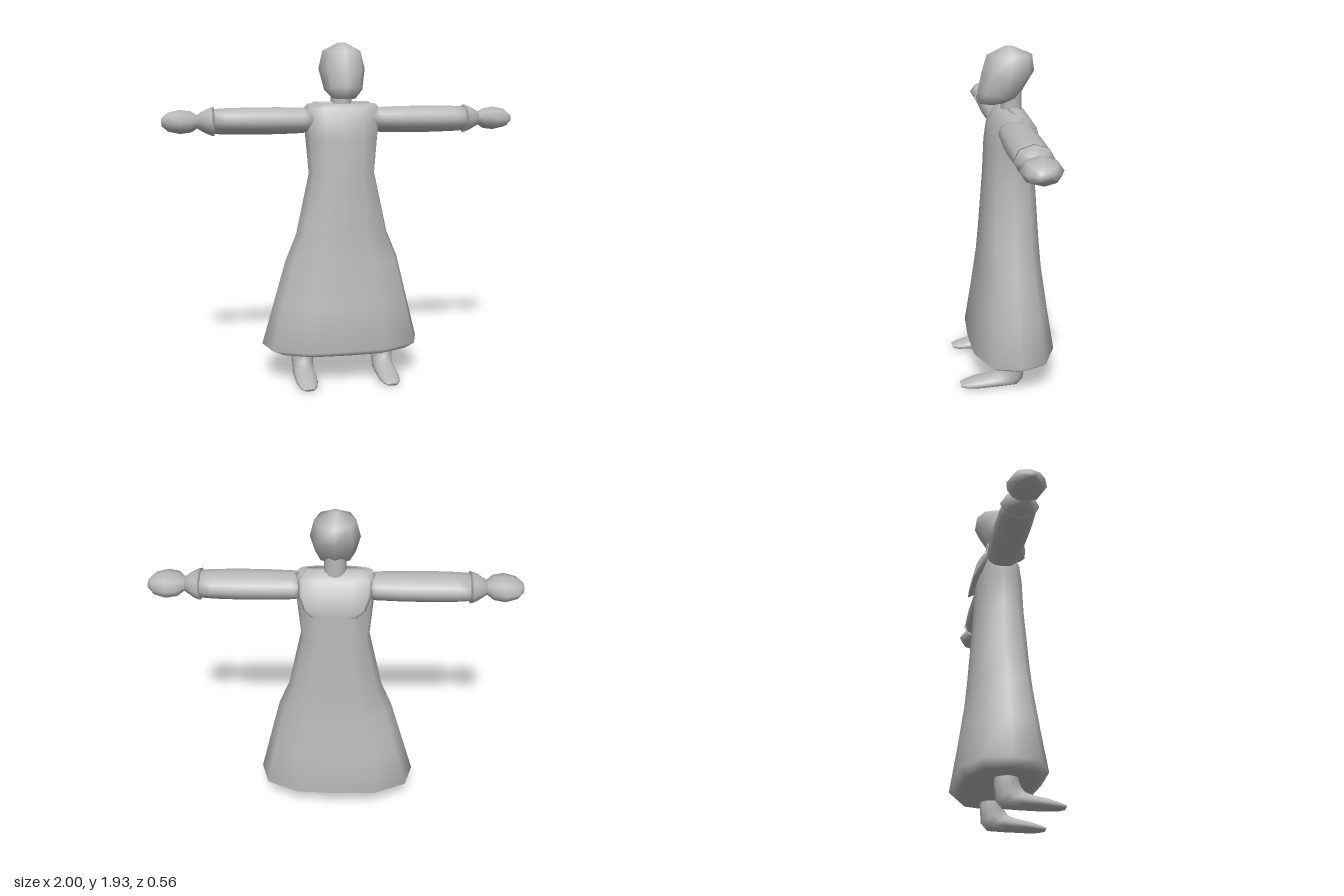
import * as THREE from 'three';

// Cross-section outlines, as unit points in x and depth
const round = (n) => Array.from({ length: n }, (_, i) => {
  const t = (i / n) * Math.PI * 2;
  return [Math.cos(t), Math.sin(t)];
});
const boxy = [[1, 0], [0.9, 0.62], [0.5, 0.96], [0, 1], [-0.5, 0.96], [-0.9, 0.62],
  [-1, 0], [-0.9, -0.62], [-0.5, -0.96], [0, -1], [0.5, -0.96], [0.9, -0.62]];

// Smooth closed skin over rings: [frontY, frontZ, backY, backZ, halfWidth, centreX]
function loft(outline, rings) {
  const n = outline.length, pos = [], idx = [];
  for (const [ay, az, by, bz, hw, cx = 0] of rings) {
    for (const [u, v] of outline) {
      pos.push(cx + u * hw, (ay + by) / 2 + v * (ay - by) / 2, (az + bz) / 2 + v * (az - bz) / 2);
    }
  }
  for (let r = 0; r < rings.length - 1; r++) {
    for (let i = 0; i < n; i++) {
      const a = r * n + i, b = r * n + (i + 1) % n;
      idx.push(a, a + n, b, b, a + n, b + n);
    }
  }
  // end caps
  for (const r of [0, rings.length - 1]) {
    const [ay, az, by, bz, , cx = 0] = rings[r];
    const c = pos.length / 3;
    pos.push(cx, (ay + by) / 2, (az + bz) / 2);
    for (let i = 0; i < n; i++) {
      const a = r * n + i, b = r * n + (i + 1) % n;
      if (r === 0) idx.push(c, a, b); else idx.push(c, b, a);
    }
  }
  const g = new THREE.BufferGeometry();
  g.setAttribute('position', new THREE.Float32BufferAttribute(pos, 3));
  g.setIndex(idx);
  g.computeVertexNormals();
  return g;
}

// Level ring at one height
const level = (y, front, back, hw, cx = 0) => [y, front, y, back, hw, cx];

export function createModel() {
  const model = new THREE.Group();
  model.name = 'robedFigure';
  const grey = new THREE.MeshStandardMaterial({ color: 0xb8b8b8 });
  grey.name = 'grey';
  const add = (name, geometry, parent = model) => {
    const mesh = new THREE.Mesh(geometry, grey);
    mesh.name = name;
    parent.add(mesh);
    return mesh;
  };

  // Long robe with a turned-under hem
  add('robe', loft(boxy, [
    level(0.16, 0.13, -0.21, 0.36),
    level(0.168, 0.16, -0.235, 0.4),
    level(0.205, 0.207, -0.278, 0.46, -0.01),
    level(0.45, 0.172, -0.24, 0.395, -0.005),
    level(0.7, 0.14, -0.205, 0.328),
    level(0.85, 0.13, -0.195, 0.266),
    level(1.2, 0.107, -0.175, 0.19),
    level(1.4, 0.095, -0.165, 0.207),
    level(1.5, 0.08, -0.16, 0.217),
    level(1.57, 0.045, -0.125, 0.214),
    level(1.593, 0.01, -0.09, 0.195),
  ]));

  // Folded hood lying on the back
  add('hood', loft(boxy, [
    level(1.39, -0.186, -0.2, 0.12),
    level(1.425, -0.145, -0.196, 0.165),
    level(1.5, -0.1, -0.178, 0.195),
    level(1.57, -0.03, -0.13, 0.198),
    level(1.603, -0.02, -0.08, 0.16),
  ]));

  // Neck and head
  const neck = new THREE.CylinderGeometry(0.058, 0.06, 0.16, 12);
  neck.translate(0, 1.63, -0.05);
  add('neck', neck);
  add('head', loft(round(8), [
    [1.625, 0.13, 1.628, -0.02, 0.065],
    [1.69, 0.135, 1.655, -0.09, 0.108],
    [1.78, 0.115, 1.795, -0.177, 0.132],
    [1.885, 0.085, 1.885, -0.165, 0.108],
    [1.93, -0.01, 1.93, -0.06, 0.02],
  ]));

  // Arms are lofted along y, then turned out to each side
  const disc = (d, rz, ry) => level(d, -0.04 + rz, -0.04 - rz, ry);
  const armParts = {
    sleeve: loft(round(12), [
      disc(0.17, 0.085, 0.062), disc(0.22, 0.094, 0.071), disc(0.35, 0.1, 0.075),
      disc(0.5, 0.102, 0.076), disc(0.65, 0.098, 0.073), disc(0.73, 0.09, 0.068),
    ]),
    cuff: loft(round(8), [
      disc(0.715, 0.104, 0.08), disc(0.73, 0.1, 0.078), disc(0.76, 0.082, 0.066),
      disc(0.805, 0.045, 0.04),
    ]),
    hand: loft(round(8), [
      disc(0.78, 0.04, 0.035), disc(0.808, 0.052, 0.036), disc(0.84, 0.09, 0.058),
      disc(0.9, 0.105, 0.066), disc(0.965, 0.082, 0.052), disc(1.0, 0.035, 0.022),
    ]),
  };
  const foot = loft(round(12), [
    [0.034, 0.283, 0.014, 0.275, 0.03],
    [0.045, 0.25, 0.007, 0.24, 0.05],
    [0.062, 0.19, 0.004, 0.17, 0.062],
    [0.078, 0.11, 0.004, 0.04, 0.064],
    [0.092, 0.075, 0.006, -0.05, 0.062],
    [0.112, 0.055, 0.045, -0.085, 0.062],
    [0.15, 0.038, 0.12, -0.09, 0.066],
    [0.28, 0.035, 0.28, -0.095, 0.07],
  ]);
  for (const [side, s] of [['left', 1], ['right', -1]]) {
    const arm = new THREE.Group();
    arm.name = side + 'Arm';
    arm.position.y = 1.5;
    arm.rotation.z = -s * Math.PI / 2;
    for (const part in armParts) add(part, armParts[part], arm);
    model.add(arm);
    add(side + 'Foot', foot).position.x = s * 0.238;
  }
  return model;
}
